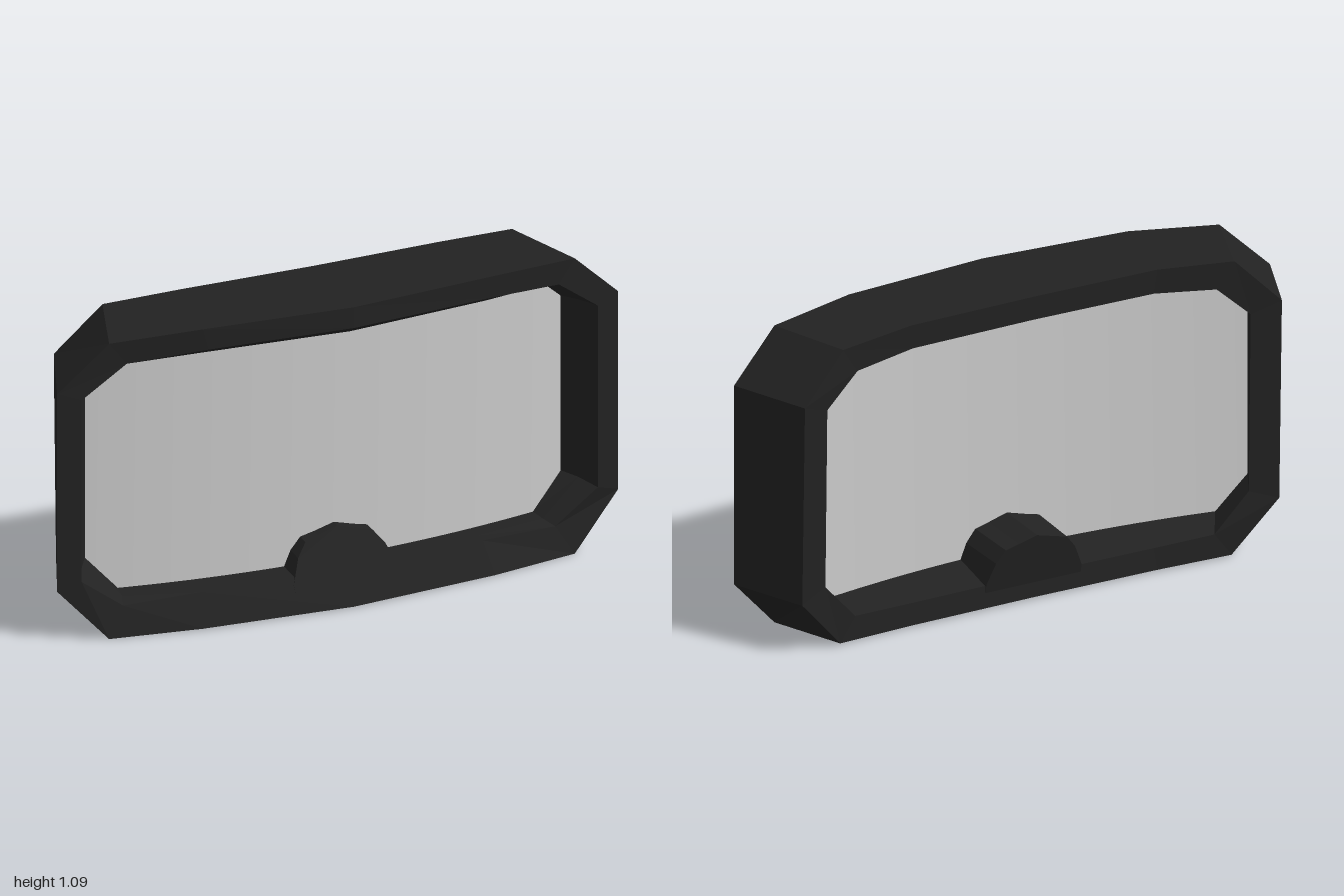
import * as THREE from 'three';

const frameMaterial = new THREE.MeshStandardMaterial({ color: 0x222222, flatShading: true });
const lensMaterial = new THREE.MeshStandardMaterial({ color: 0xcccccc, side: THREE.DoubleSide });

// Frame edges, each from top centre round the +x side to bottom centre
const outerBack = [[0, 1.085, -0.14], [0.46, 1.085, -0.147], [0.73, 1.068, -0.177], [0.89, 0.905, -0.208],
  [0.89, 0.19, -0.19], [0.73, 0.007, -0.157], [0.46, 0.007, -0.145], [0, 0.007, -0.14]];
const outerFront = [[0, 1.085, 0.207], [0.52, 1.085, 0.167], [0.83, 1.065, 0.108], [1, 0.9, 0.073],
  [1, 0.187, 0.073], [0.83, 0, 0.108], [0.52, 0.005, 0.167], [0, 0.005, 0.207]];
const innerFront = [[0, 1.01, 0.207], [0.5, 1.008, 0.167], [0.77, 0.985, 0.115], [0.92, 0.87, 0.09],
  [0.92, 0.215, 0.09], [0.77, 0.1, 0.085], [0.5, 0.11, 0.11], [0, 0.11, 0.142]];
const step = [[0, 0.985, 0.175], [0.5, 0.983, 0.13], [0.75, 0.965, 0.06], [0.885, 0.865, 0.01],
  [0.885, 0.225, 0.01], [0.75, 0.108, 0.03], [0.5, 0.11, 0.07], [0, 0.11, 0.11]];
const lensEdge = [[0, 0.985, 0.04], [0.5, 0.98, 0.01], [0.74, 0.96, -0.028], [0.848, 0.86, -0.05],
  [0.848, 0.23, -0.05], [0.74, 0.11, -0.028], [0.5, 0.11, 0.01], [0, 0.11, 0.04]];
const innerBack = [[0, 1.0, -0.135], [0.45, 0.998, -0.14], [0.67, 0.975, -0.165], [0.79, 0.865, -0.178],
  [0.79, 0.225, -0.165], [0.67, 0.09, -0.15], [0.45, 0.085, -0.14], [0, 0.085, -0.135]];

// Completes a half loop by mirroring it across x = 0
function mirrorLoop(half) {
  const other = half.slice(1, -1).reverse().map(([x, y, z]) => [-x, y, z]);
  return [...half, ...other];
}

// Skins neighbouring loops; caps close the first and last loop
function loft(loops, { closed = false, caps = false } = {}) {
  const n = loops[0].length;
  const index = [];
  const positions = loops.flat(2);
  const last = closed ? loops.length : loops.length - 1;
  for (let s = 0; s < last; s++) {
    const a = s * n;
    const b = ((s + 1) % loops.length) * n;
    for (let i = 0; i < n; i++) {
      const j = (i + 1) % n;
      index.push(a + i, b + i, b + j, a + i, b + j, a + j);
    }
  }
  if (caps) {
    const end = (loops.length - 1) * n;
    for (let i = 1; i < n - 1; i++) {
      index.push(0, i, i + 1);
      index.push(end, end + i + 1, end + i);
    }
  }
  const geometry = new THREE.BufferGeometry();
  geometry.setAttribute('position', new THREE.Float32BufferAttribute(positions, 3));
  geometry.setIndex(index);
  const flat = geometry.toNonIndexed();
  flat.computeVertexNormals();
  return flat;
}

// Curved lens sheet, trimmed to the opening of the frame
function lensGeometry() {
  const heightAt = (x, points) => {
    for (let i = 1; i < points.length; i++) {
      const [x0, y0] = points[i - 1];
      const [x1, y1] = points[i];
      if (x <= x1) return THREE.MathUtils.mapLinear(x, x0, x1, y0, y1);
    }
    return points[points.length - 1][1];
  };
  const top = lensEdge.slice(0, 4);
  const bottom = lensEdge.slice(4).reverse();
  const geometry = new THREE.PlaneGeometry(2, 1, 48, 1);
  const p = geometry.attributes.position;
  for (let i = 0; i < p.count; i++) {
    const x = p.getX(i) * 0.855;
    const y = p.getY(i) > 0 ? heightAt(Math.abs(x), top) + 0.008 : heightAt(Math.abs(x), bottom) - 0.008;
    p.setXYZ(i, x, y, 0.04 - 0.125 * x * x);
  }
  geometry.computeVertexNormals();
  return geometry;
}

// Arched nose piece: sloped front face, slightly overhanging back face
function noseGeometry() {
  const arch = mirrorLoop([[0, 0.24], [0.07, 0.22], [0.12, 0.208], [0.155, 0.165], [0.187, 0.09], [0.187, 0.06], [0, 0.06]]
    .map(([x, y]) => [x, y, 0]));
  const back = arch.map(([x, y]) => [x * 0.95, y, -0.13 - 0.15 * y]);
  const front = arch.map(([x, y]) => [x, y, 0.205 - 0.56 * y - 0.3 * x * x]);
  return loft([back, front], { caps: true });
}

export function createModel() {
  const group = new THREE.Group();
  group.name = 'goggles';
  const add = (name, geometry, material) => {
    const mesh = new THREE.Mesh(geometry, material);
    mesh.name = name;
    group.add(mesh);
  };
  const loops = [outerBack, outerFront, innerFront, step, lensEdge, innerBack].map(mirrorLoop);
  add('frame', loft(loops, { closed: true }), frameMaterial);
  add('nosePiece', noseGeometry(), frameMaterial);
  add('lens', lensGeometry(), lensMaterial);
  return group;
}
